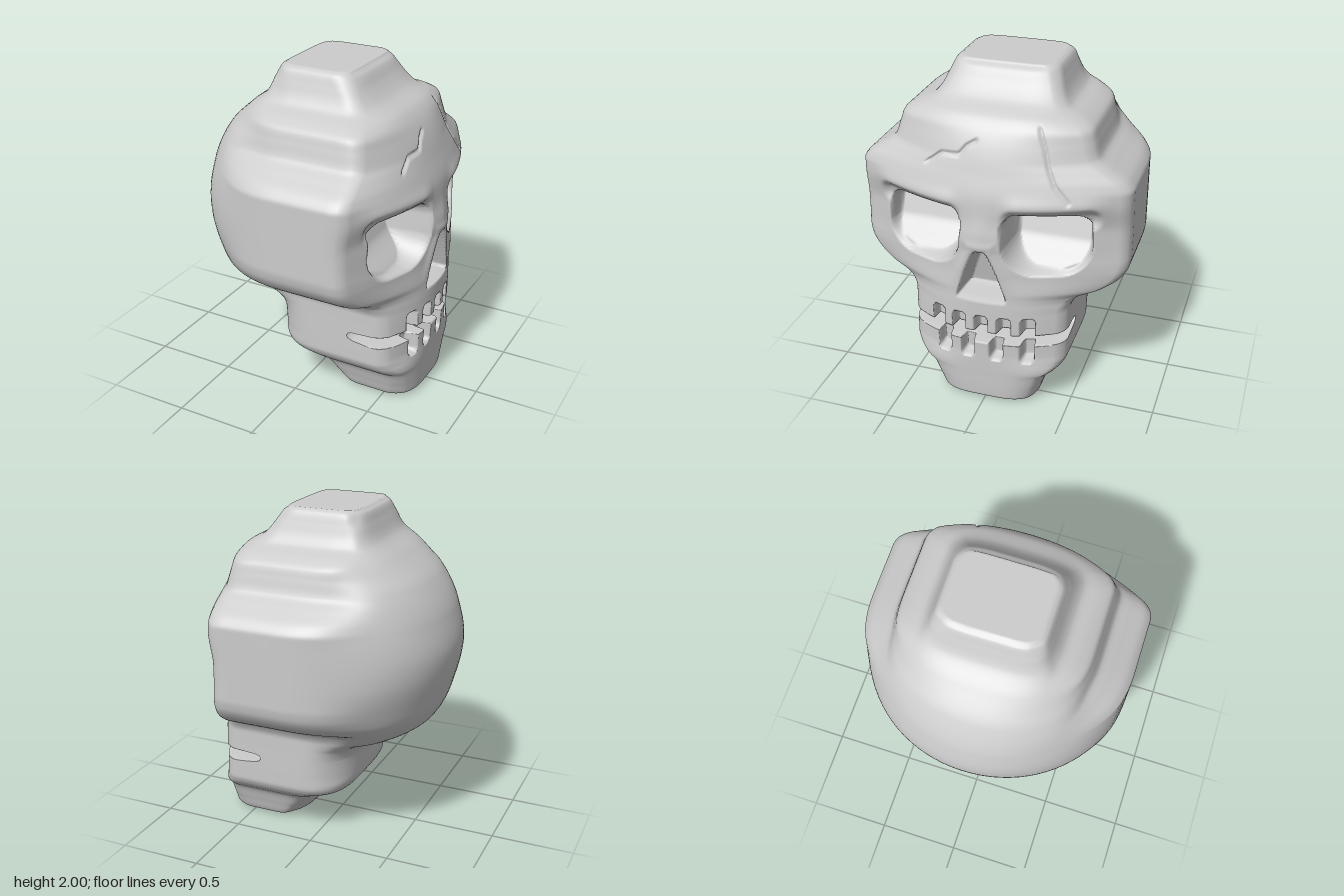
import * as THREE from 'three';

// Profiles by height: [y, value]
const WIDTH = [[0, .26], [.02, .295], [.1, .325], [.19, .36], [.23, .41], [.28, .455], [.32, .47], [.64, .475], [.7, .5], [.74, .55],
  [.79, .67], [.85, .75], [.92, .79], [.98, .8], [1.4, .8], [1.45, .77], [1.52, .67], [1.57, .6], [1.66, .57], [1.72, .55],
  [1.77, .475], [1.8, .4], [1.85, .36], [1.92, .33], [1.97, .31], [1.99, .295], [2, .275]];
const FRONT = [[0, .63], [.03, .68], [.2, .69], [.43, .7], [.5, .715], [1, .72], [1.12, .73], [1.25, .71], [1.35, .7], [1.5, .655],
  [1.6, .62], [1.7, .57], [1.77, .51], [1.83, .4], [1.9, .33], [1.97, .28], [2, .24]];
const BACK = [[0, .25], [.03, .18], [.1, .11], [.2, .03], [.24, -.06], [.28, -.15], [.35, -.19], [.5, -.21], [.57, -.25], [.61, -.33],
  [.66, -.48], [.75, -.6], [.9, -.67], [1.2, -.73], [1.4, -.69], [1.6, -.58], [1.74, -.42], [1.83, -.3], [1.92, -.25], [1.98, -.22], [2, -.19]];
// Width of the round rear of the head, which has no steps
const REAR_WIDTH = [[0, .26], [.2, .36], [.3, .46], [.55, .47], [.62, .5], [.72, .62], [.85, .73], [1.1, .8], [1.3, .78],
  [1.5, .7], [1.7, .54], [1.8, .42], [1.9, .34], [2, .275]];
// Plan shape: corner x, front roundness, where the back curve starts, back roundness
const CORNER = [[0, .58], [.2, .61], [.3, .57], [.65, .55], [.85, .47], [1.15, .45], [1.35, .47], [1.7, .43], [1.8, .35], [1.9, .28], [2, .22]];
const FRONT_POWER = [[0, 4], [.2, 4], [.35, 2.4], [.65, 2.2], [.9, 1.4], [1.18, 1.35], [1.33, 1.9], [1.65, 2.2], [1.85, 4], [2, 5]];
const SIDE_END = [[0, .38], [.2, .3], [.35, .15], [.7, .05], [1.4, .05], [1.7, 0], [2, 0]];
const BACK_POWER = [[0, 4], [.2, 4], [.4, 2.8], [.75, 2.1], [1.3, 2], [1.65, 2.3], [1.85, 4], [2, 6]];

const CRACKS = [
  [[.33, 1.51], [.3, 1.53], [.25, 1.57], [.14, 1.58], [.1, 1.63], [.05, 1.66]],
  [[-.29, 1.74], [-.33, 1.64], [-.36, 1.54], [-.4, 1.46], [-.48, 1.37]],
];

const { lerp, smoothstep, clamp } = THREE.MathUtils;

// Smooth interpolation that never overshoots the profile points
function lookup(table, y) {
  let i = 1;
  while (i < table.length - 1 && table[i][0] < y) i++;
  const rise = k => (k < 1 || k >= table.length) ? 0 : (table[k][1] - table[k - 1][1]) / (table[k][0] - table[k - 1][0]);
  const slope = (a, b) => a * b > 0 ? 2 * a * b / (a + b) : 0;
  const [y0, a] = table[i - 1], [y1, b] = table[i];
  const h = y1 - y0, t = clamp((y - y0) / h, 0, 1), u = 1 - t;
  const m0 = slope(rise(i - 1), rise(i)) * h, m1 = slope(rise(i), rise(i + 1)) * h;
  return a * u * u * (1 + 2 * t) + m0 * t * u * u + b * t * t * (3 - 2 * t) - m1 * t * t * u;
}

// Signed distance to a rounded box in the face plane
function boxDistance(z, y, cz, cy, hz, hy, r) {
  const a = Math.abs(z - cz) - hz + r, b = Math.abs(y - cy) - hy + r;
  return Math.hypot(Math.max(a, 0), Math.max(b, 0)) + Math.min(Math.max(a, b), 0) - r;
}
const inside = (d, w) => 1 - smoothstep(d, -w, w);

function lineDistance(z, y, pts) {
  let best = 9;
  for (let i = 1; i < pts.length; i++) {
    const [az, ay] = pts[i - 1], [bz, by] = pts[i];
    const dz = bz - az, dy = by - ay;
    const t = clamp(((z - az) * dz + (y - ay) * dy) / (dz * dz + dy * dy), 0, 1);
    best = Math.min(best, Math.hypot(z - az - dz * t, y - ay - dy * t));
  }
  return best;
}

// Carve sockets, nose, tooth gaps, brows and cracks into the face
function carve(x, z, y) {
  const s = Math.abs(z);

  // brow ridge with a soft recess between it and the eye
  const browY = 1.3 + (s - .4) * .04;
  const browSpan = smoothstep(s, .08, .22) * (1 - smoothstep(s, .55, .74));
  x += .016 * browSpan * Math.exp(-(((y - browY - .04) / .05) ** 2));
  x -= .035 * inside(boxDistance(s, y - browY, .385, -.05, .245, .055, .05), .035);

  // eye sockets, squarer at the top, leaning outward, shallower toward the bottom
  const radius = lerp(.17, .08, smoothstep(y, 1.05, 1.13));
  const eye = boxDistance(s - (1.09 - y) * .06, y, .365, 1.09, .228, .175, radius);
  const bowl = .38 + .35 * (1.25 - y) + .08 * (1 - smoothstep(y, .9, 1.08));
  x = lerp(x, Math.min(x - .04, bowl), inside(eye, .016));

  // nose opening with a raised bridge around it
  const half = .018 + .115 * Math.pow(clamp((1.04 - y) / .3, 0, 1), .8);
  const nose = Math.max(s - half, .735 - y, y - 1.035);
  x += .01 * smoothstep(y, .75, .92) * Math.exp(-(((nose - .04) / .03) ** 2));
  x = lerp(x, Math.min(x, .53 + .25 * (y - .75)), inside(nose, .016));

  // tooth gaps, upper then lower
  const gaps = y > .475 ? [-.27, -.135, 0, .135, .27] : [-.265, -.085, .09, .24];
  const edge = y > .475 ? .5 : .43;
  for (const c of gaps) x -= .08 * inside(boxDistance(z, y, c, edge, .035, .112, .02), .008);

  // forehead cracks
  for (const c of CRACKS) x -= .014 * (1 - smoothstep(lineDistance(z, y, c), .002, .016));
  return x;
}

const FACE = 160, SIDE = 10, REAR = 44, ROUND = .06;

// One horizontal cross-section: face, left side, rear arc, right side
function ring({ y, clip = 9, size = 1 }) {
  const w = lookup(WIDTH, y), xf = lookup(FRONT, y), xb = lookup(BACK, y), rear = lookup(REAR_WIDTH, y);
  const p = lookup(FRONT_POWER, y), n = lookup(BACK_POWER, y);
  const xc = Math.min(lookup(CORNER, y), xf), m = lookup(SIDE_END, y);
  const pts = [];
  for (let i = 0; i <= FACE; i++) {
    // columns crowd together toward the rounded corners
    const q = i / FACE * 2 - 1, t = q * (1.12 - .12 * q * q);
    const e = clamp((Math.abs(t) * w - w + ROUND) / ROUND, 0, 1);
    const x = xc + (xf - xc) * (1 - Math.abs(t) ** p) - ROUND * (1 - Math.sqrt(1 - e * e));
    pts.push([carve(x, t * w, y), t * w]);
  }
  for (let i = 1; i < SIDE; i++) pts.push([lerp(xc - ROUND, m, i / SIDE), w]);
  for (let i = 0; i <= REAR; i++) {
    const a = Math.PI * i / REAR, c = Math.cos(a), sn = Math.abs(Math.sin(a));
    const wide = lerp(w, rear, smoothstep(sn, .25, .75));
    pts.push([m - (m - xb) * sn ** (2 / n), wide * Math.sign(c) * Math.abs(c) ** (2 / n)]);
  }
  for (let i = 1; i < SIDE; i++) pts.push([lerp(m, xc - ROUND, i / SIDE), -w]);
  const mid = (xf + xb) / 2;
  return pts.flatMap(([x, z]) => [lerp(mid, Math.min(x, clip), size), y, z * size]);
}

// Skin a list of cross-sections
function loft(rows) {
  const pos = rows.flatMap(ring), cols = pos.length / 3 / rows.length, index = [];
  for (let r = 0; r < rows.length - 1; r++) {
    for (let c = 0; c < cols; c++) {
      const a = r * cols + c, b = r * cols + (c + 1) % cols;
      index.push(a, a + cols, b, b, a + cols, b + cols);
    }
  }
  const g = new THREE.BufferGeometry();
  g.setAttribute('position', new THREE.Float32BufferAttribute(pos, 3));
  g.setIndex(index);
  g.computeVertexNormals();
  return g;
}

function span(y0, y1, step) {
  const n = Math.round((y1 - y0) / step);
  return Array.from({ length: n + 1 }, (_, i) => ({ y: lerp(y0, y1, i / n) }));
}

export function createModel() {
  const bone = new THREE.MeshStandardMaterial({ color: 0xcccccc });
  bone.name = 'bone grey';
  const group = new THREE.Group();
  group.name = 'skull';
  const add = (name, rows) => {
    const mesh = new THREE.Mesh(loft(rows), bone);
    mesh.name = name;
    group.add(mesh);
  };

  // The mouth slit is cut by clipping the cross-sections between the jaws
  add('lowerJaw', [
    { y: 0, size: 0 }, { y: 0, size: .5 }, { y: 0, size: .95 }, ...span(0, .03, .006), ...span(.04, .425, .01),
    { y: .43, clip: .69 }, { y: .433, clip: .6 }, { y: .438, clip: .45 },
    { y: .446, clip: .38 }, { y: .458, clip: .35 }, { y: .475, clip: .34 },
  ]);
  add('cranium', [
    { y: .475, clip: .34 }, { y: .49, clip: .35 }, { y: .499, clip: .38 }, { y: .503, clip: .45 },
    { y: .506, clip: .6 }, { y: .508, clip: .7 }, ...span(.514, 1.3, .009),
    ...span(1.31, 1.96, .01), ...span(1.966, 2, .006), { y: 2, size: .95 }, { y: 2, size: .5 }, { y: 2, size: 0 },
  ]);
  return group;
}
